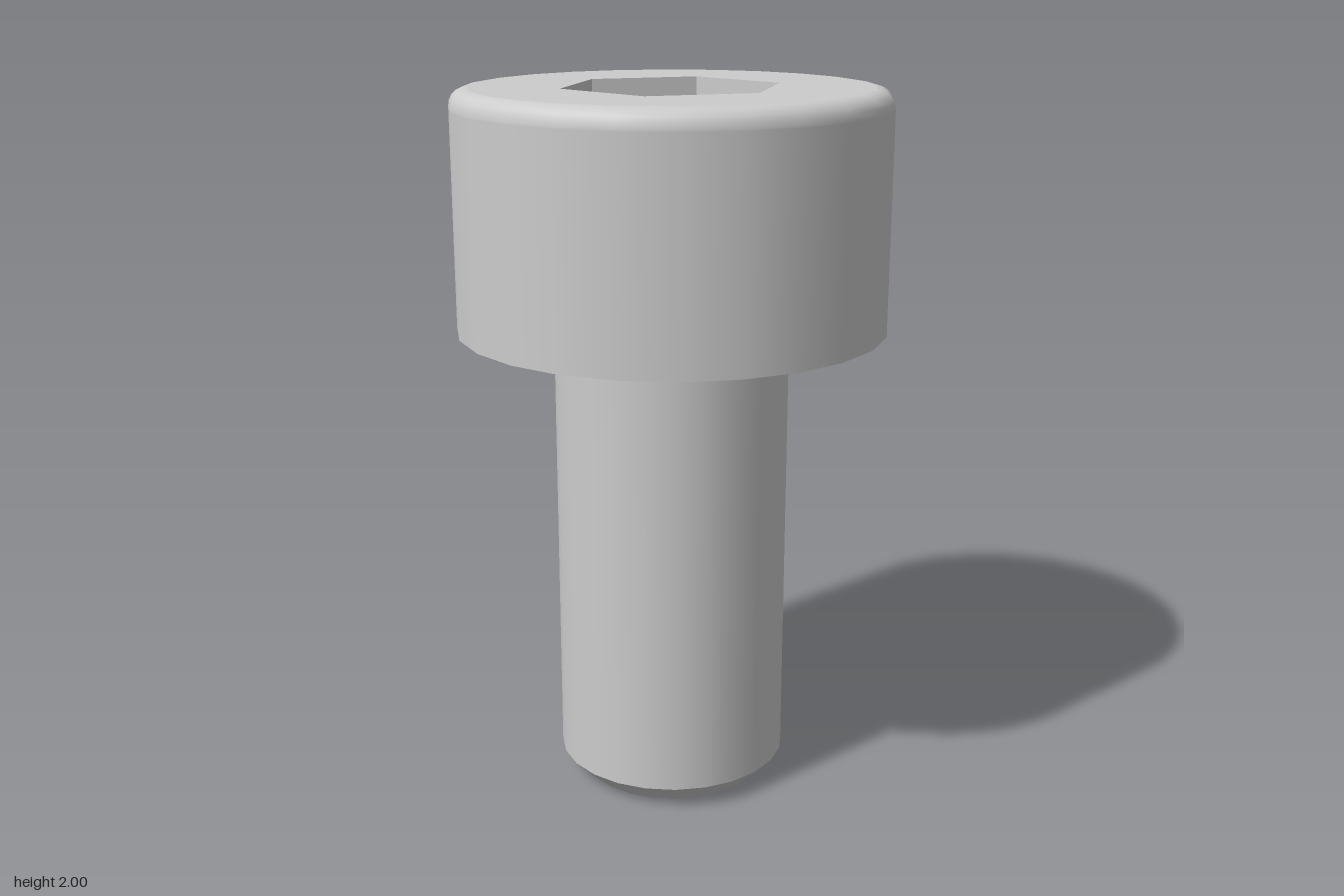
import * as THREE from 'three';

const HEAD_R = 0.6, HEAD_BOTTOM = 1.34, TOP = 2, FILLET = 0.05;
const SHANK_R = 0.33, TIP_R = 0.265, CHAMFER = 0.065;
const HEX_R = 0.308, HEX_DEPTH = 0.33, CONE_DEPTH = 0.17;

export function createModel() {
  const group = new THREE.Group();
  const steel = new THREE.MeshStandardMaterial({ color: 0xcccccc });
  steel.name = 'steel';

  const add = (name, geometry) => {
    const mesh = new THREE.Mesh(geometry, steel);
    mesh.name = name;
    group.add(mesh);
    return mesh;
  };
  // Revolved surface; faces point to the right of the profile's direction
  const turn = (name, profile, sides = 24) =>
    add(name, new THREE.LatheGeometry(profile.map(([r, y]) => new THREE.Vector2(r, y)), sides));
  const ring = (radius, sides, start = 0) =>
    Array.from({ length: sides }, (_, i) => {
      const a = start + (i / sides) * Math.PI * 2;
      return new THREE.Vector2(radius * Math.cos(a), radius * Math.sin(a));
    });

  // Shank with chamfered tip, one surface per sharp edge
  turn('shankTip', [[0, 0], [TIP_R, 0]]);
  turn('shankChamfer', [[TIP_R, 0], [SHANK_R, CHAMFER]]);
  turn('shank', [[SHANK_R, CHAMFER], [SHANK_R, HEAD_BOTTOM]]);

  // Head: underside, then wall running smoothly into the rounded rim
  turn('headUnderside', [[SHANK_R, HEAD_BOTTOM], [HEAD_R, HEAD_BOTTOM]]);
  const wall = [[HEAD_R, HEAD_BOTTOM], [HEAD_R, TOP - FILLET - 0.005]];
  for (let i = 0; i <= 5; i++) {
    const a = (i / 5) * Math.PI / 2;
    wall.push([HEAD_R - FILLET + FILLET * Math.cos(a), TOP - FILLET + FILLET * Math.sin(a)]);
  }
  turn('headWall', wall);

  // Top face with the hexagonal opening
  const face = new THREE.Shape(ring(HEAD_R - FILLET, 24));
  face.holes.push(new THREE.Path(ring(HEX_R, 6, Math.PI / 2)));
  const top = add('headTop', new THREE.ShapeGeometry(face));
  top.rotation.x = -Math.PI / 2;
  top.position.y = TOP;

  // Hex socket: flat walls and a shallow conical floor
  const floorY = TOP - HEX_DEPTH;
  const socket = turn('socketWalls', [[HEX_R, TOP], [HEX_R, floorY]], 6);
  socket.geometry = socket.geometry.toNonIndexed();
  socket.geometry.computeVertexNormals();
  turn('socketFloor', [[HEX_R, floorY], [HEX_R / 2, floorY - CONE_DEPTH / 2], [0, floorY - CONE_DEPTH]], 6);

  return group;
}
